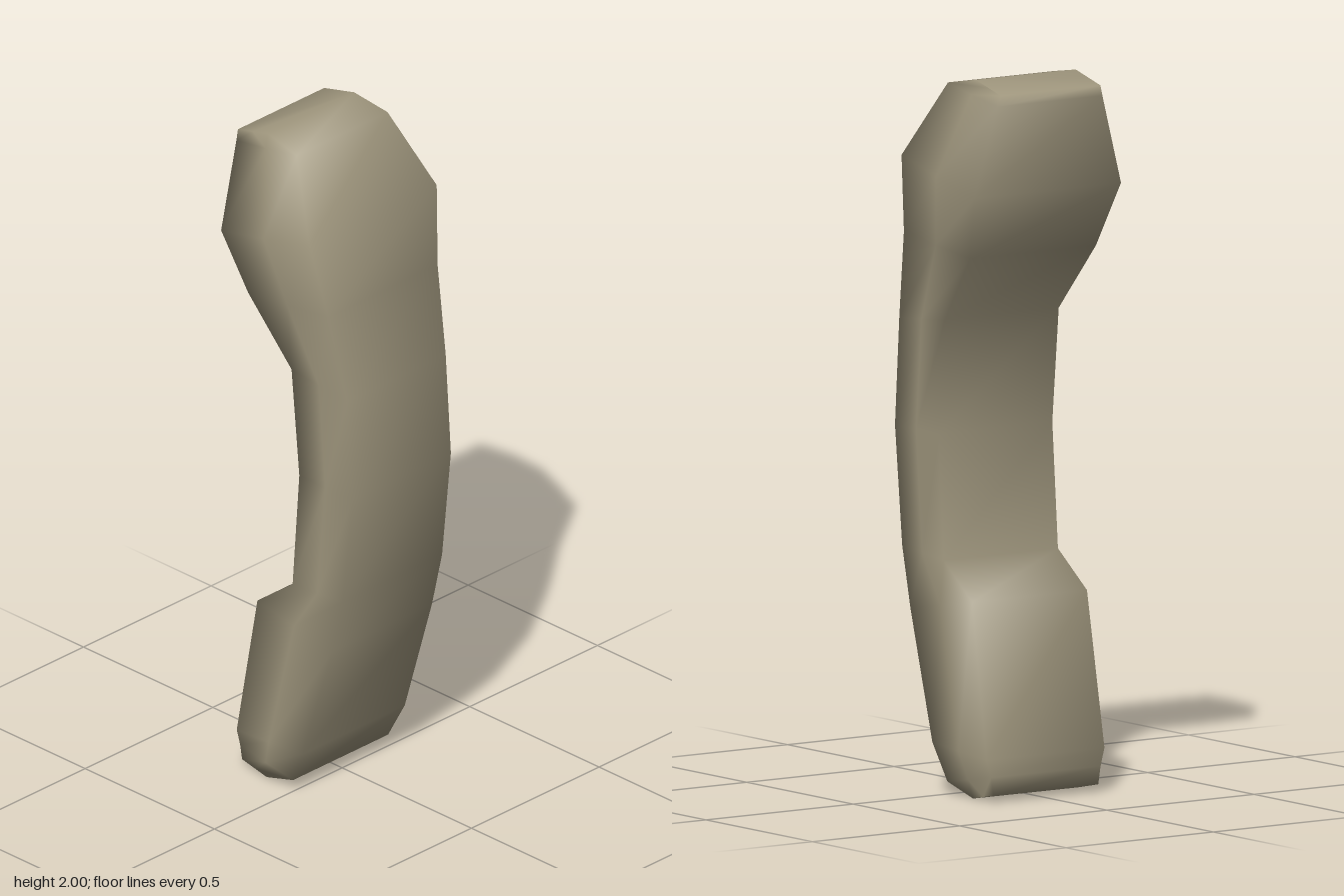
import * as THREE from 'three';

const shell = new THREE.MeshStandardMaterial({ color: 0xa0977e });
shell.name = 'khakiShell';

// Cross-sections from bottom to top:
// front y, front z, back y, back z, half width, side bulge, x offset
const SECTIONS = [
  [0.0, -0.11, 0.02, -0.205, 0.178, 0.0, -0.006],
  [0.035, 0.0, 0.07, -0.205, 0.186, 0.004, -0.006],
  [0.14, 0.05, 0.12, -0.205, 0.2, 0.004, -0.005],
  [0.5, 0.16, 0.55, -0.13, 0.195, 0.004, -0.005],
  [0.67, 0.2, 0.65, 0.005, 0.194, 0.002, -0.005],
  [1.0, 0.235, 1.0, 0.03, 0.193, 0.002, -0.005],
  [1.3, 0.215, 1.32, 0.0, 0.193, 0.002, -0.005],
  [1.55, 0.16, 1.51, -0.15, 0.214, 0.004, -0.002],
  [1.77, 0.12, 1.69, -0.222, 0.249, 0.007, 0],
  [1.98, 0.0, 1.94, -0.233, 0.178, 0.004, 0],
  [2.0, -0.12, 1.97, -0.236, 0.169, 0.0, 0],
];

// Six-sided rings joined into one smooth closed skin
function loft(sections) {
  const n = 6, pos = [], index = [];
  for (const [fy, fz, by, bz, w, bulge, ox] of sections) {
    const my = (fy + by) / 2, mz = (fz + bz) / 2;
    pos.push(
      ox + w, fy, fz, ox + w + bulge, my, mz, ox + w, by, bz,
      ox - w, by, bz, ox - w - bulge, my, mz, ox - w, fy, fz);
  }
  for (let i = 0; i < sections.length - 1; i++) {
    for (let j = 0; j < n; j++) {
      const a = i * n + j, b = i * n + (j + 1) % n;
      index.push(a, b, b + n, a, b + n, a + n);
    }
  }
  // End caps
  const t = (sections.length - 1) * n;
  for (let j = 1; j < n - 1; j++) {
    index.push(0, j + 1, j, t, t + j, t + j + 1);
  }
  const g = new THREE.BufferGeometry();
  g.setAttribute('position', new THREE.Float32BufferAttribute(pos, 3));
  g.setIndex(index);
  g.computeVertexNormals();
  return g;
}

export function createModel() {
  const group = new THREE.Group();
  group.name = 'telephoneHandset';
  // Earpiece, grip and mouthpiece share one continuous shell
  const body = new THREE.Mesh(loft(SECTIONS), shell);
  body.name = 'handsetShell';
  group.add(body);
  return group;
}
